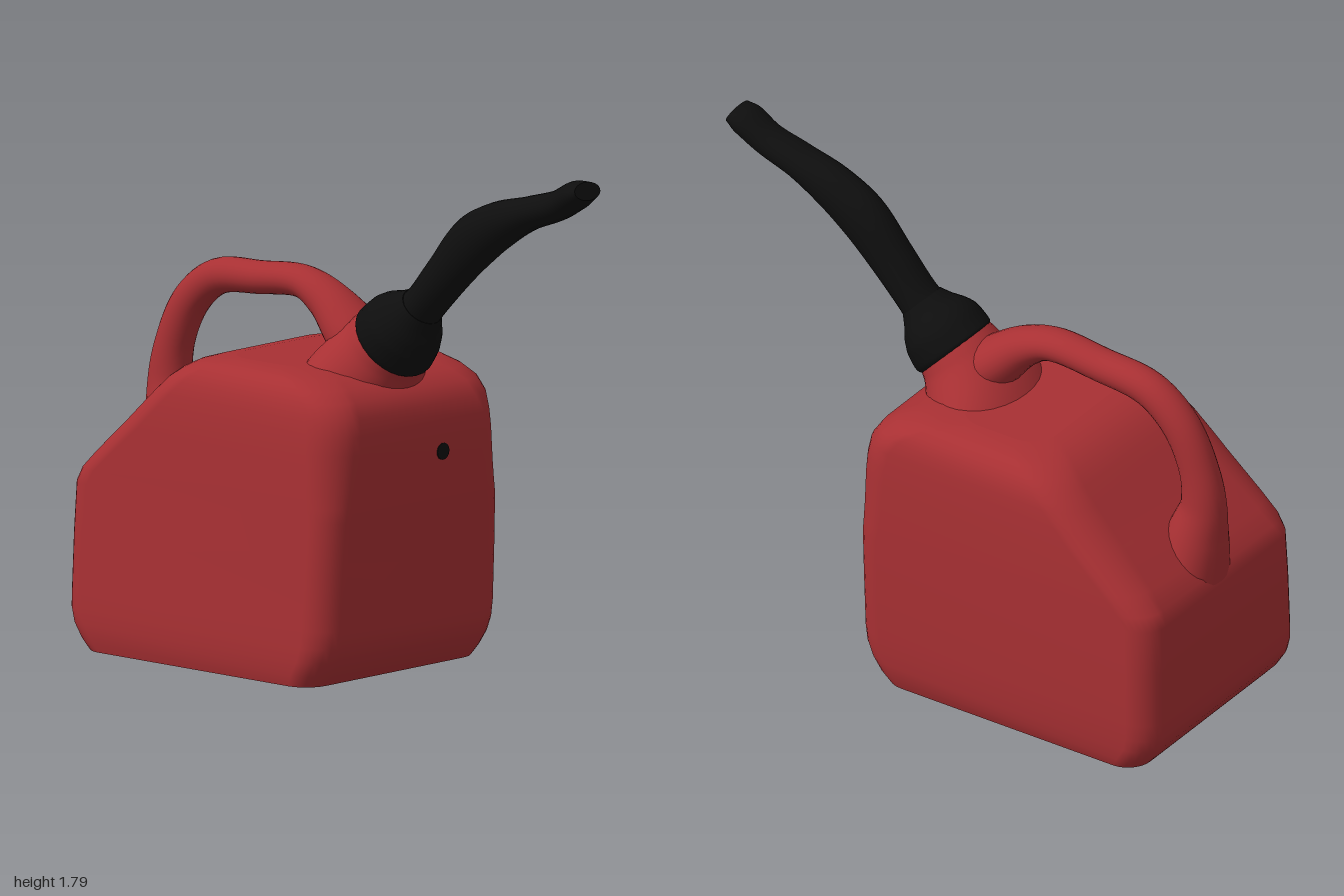
import * as THREE from 'three';

const red = new THREE.MeshStandardMaterial({ color: 0xa83033 });
red.name = 'red plastic';
const black = new THREE.MeshStandardMaterial({ color: 0x0e0e0e });
black.name = 'black plastic';

// Skins a list of equal-length closed rings and closes both ends with crisp caps.
function skin(rings) {
  const n = rings[0].length;
  const pos = [], index = [];
  rings.forEach((ring) => ring.forEach((p) => pos.push(p.x, p.y, p.z)));
  for (let i = 0; i < rings.length - 1; i++) {
    for (let j = 0; j < n; j++) {
      const k = (j + 1) % n;
      const a = i * n + j, b = i * n + k, c = a + n, d = b + n;
      index.push(a, b, c, b, d, c);
    }
  }
  [[rings[0], true], [rings[rings.length - 1], false]].forEach(([ring, flip]) => {
    const base = pos.length / 3;
    const mid = new THREE.Vector3();
    ring.forEach((p) => { mid.addScaledVector(p, 1 / n); pos.push(p.x, p.y, p.z); });
    pos.push(mid.x, mid.y, mid.z);
    for (let j = 0; j < n; j++) {
      const k = (j + 1) % n;
      index.push(base + n, base + (flip ? k : j), base + (flip ? j : k));
    }
  });
  const geo = new THREE.BufferGeometry();
  geo.setAttribute('position', new THREE.Float32BufferAttribute(pos, 3));
  geo.setIndex(index);
  geo.computeVertexNormals();
  return geo;
}

// Oval tube through stations [x, y, z, in-plane radius, z radius].
function sweep(stations, steps = 40, sides = 24) {
  const path = new THREE.CatmullRomCurve3(stations.map((s) => new THREE.Vector3(s[0], s[1], s[2])));
  const size = new THREE.CatmullRomCurve3(stations.map((s) => new THREE.Vector3(s[3], s[4], 0)));
  const rings = [];
  for (let i = 0; i <= steps; i++) {
    const c = path.getPoint(i / steps), r = size.getPoint(i / steps);
    const t = path.getTangent(i / steps).setZ(0).normalize();
    const ring = [];
    for (let j = 0; j < sides; j++) {
      const a = (j / sides) * Math.PI * 2;
      const u = Math.cos(a) * r.x;
      ring.push(new THREE.Vector3(c.x - t.y * u, c.y + t.x * u, c.z + Math.sin(a) * r.y));
    }
    rings.push(ring);
  }
  return skin(rings);
}

// Horizontal rounded rectangle, slightly skewed.
function section([y, x0, x1, zBack, zFront, r]) {
  const corners = [[x1 - r, zBack + r], [x0 + r, zBack + r], [x0 + r, zFront - r], [x1 - r, zFront - r]];
  const ring = [];
  corners.forEach(([cx, cz], q) => {
    for (let k = 0; k <= 7; k++) {
      const a = (q + k / 7) * Math.PI / 2;
      const x = cx + Math.cos(a) * r;
      ring.push(new THREE.Vector3(x, y, cz - Math.sin(a) * r - 0.024 * (x + 0.4)));
    }
  });
  return ring;
}

export function createModel() {
  const model = new THREE.Group();
  const add = (name, geo, mat) => {
    const mesh = new THREE.Mesh(geo, mat);
    mesh.name = name;
    model.add(mesh);
    return mesh;
  };

  // Tank: y, left x, right x, back z, front z, corner radius
  add('tank', skin([
    [0, -0.92, 0.12, -0.42, 0.435, 0.09],
    [0.04, -0.955, 0.15, -0.435, 0.445, 0.1],
    [0.09, -0.985, 0.18, -0.44, 0.448, 0.1],
    [0.14, -0.997, 0.197, -0.443, 0.448, 0.1],
    [0.2, -0.998, 0.203, -0.445, 0.445, 0.1],
    [0.4, -0.996, 0.21, -0.445, 0.437, 0.1],
    [0.57, -0.99, 0.218, -0.44, 0.43, 0.1],
    [0.62, -0.97, 0.22, -0.438, 0.428, 0.11],
    [0.68, -0.915, 0.222, -0.436, 0.426, 0.12],
    [0.8, -0.79, 0.226, -0.43, 0.42, 0.13],
    [0.86, -0.73, 0.223, -0.425, 0.415, 0.13],
    [0.92, -0.67, 0.212, -0.42, 0.408, 0.13],
    [0.97, -0.62, 0.18, -0.41, 0.395, 0.13],
    [1.005, -0.575, 0.13, -0.39, 0.375, 0.13],
    [1.03, -0.53, 0.07, -0.365, 0.35, 0.13],
    [1.046, -0.48, 0.0, -0.325, 0.31, 0.12],
    [1.052, -0.43, -0.08, -0.27, 0.25, 0.1],
  ].map(section)), red);

  // Carrying handle, flared where it meets the tank and the neck
  add('handle', sweep([
    [-0.87, 0.6, 0, 0.12, 0.15],
    [-0.893, 0.74, 0, 0.105, 0.11],
    [-0.917, 0.87, 0, 0.08, 0.075],
    [-0.893, 1.01, 0, 0.068, 0.066],
    [-0.82, 1.155, -0.003, 0.066, 0.064],
    [-0.7, 1.248, -0.005, 0.062, 0.063],
    [-0.5, 1.272, -0.005, 0.057, 0.063],
    [-0.3, 1.283, -0.008, 0.056, 0.068],
    [-0.19, 1.235, -0.01, 0.07, 0.08],
    [-0.09, 1.15, -0.015, 0.09, 0.11],
    [0.0, 1.06, -0.02, 0.1, 0.13],
  ], 64), red);

  // Sloping neck under the collar
  add('neck', sweep([
    [-0.07, 0.9, -0.02, 0.2, 0.3],
    [-0.03, 0.98, -0.02, 0.18, 0.255],
    [0.02, 1.05, -0.02, 0.165, 0.2],
    [0.065, 1.105, -0.02, 0.15, 0.155],
    [0.11, 1.15, -0.02, 0.14, 0.135],
  ], 24, 32), red);

  // Screw collar
  add('collar', sweep([
    [0.085, 1.12, -0.02, 0.135, 0.135],
    [0.105, 1.14, -0.02, 0.153, 0.15],
    [0.145, 1.185, -0.02, 0.143, 0.148],
    [0.175, 1.215, -0.022, 0.125, 0.13],
    [0.205, 1.245, -0.024, 0.095, 0.1],
    [0.23, 1.27, -0.025, 0.075, 0.08],
  ], 24, 28), black);

  // Bent pouring spout
  add('spout', sweep([
    [0.18, 1.22, -0.025, 0.085, 0.085],
    [0.25, 1.29, -0.027, 0.072, 0.078],
    [0.35, 1.4, -0.028, 0.08, 0.076],
    [0.47, 1.525, -0.03, 0.093, 0.077],
    [0.59, 1.6, -0.032, 0.08, 0.075],
    [0.72, 1.655, -0.036, 0.058, 0.07],
    [0.85, 1.7, -0.043, 0.052, 0.066],
    [0.93, 1.745, -0.045, 0.05, 0.07],
    [0.978, 1.765, -0.045, 0.032, 0.062],
  ], 48), black);

  // Small dark spot on the end wall
  const spot = add('spot', new THREE.CylinderGeometry(0.029, 0.029, 0.009, 14), black);
  spot.rotation.z = -Math.PI / 2;
  spot.position.set(0.224, 0.755, -0.13);

  return model;
}
